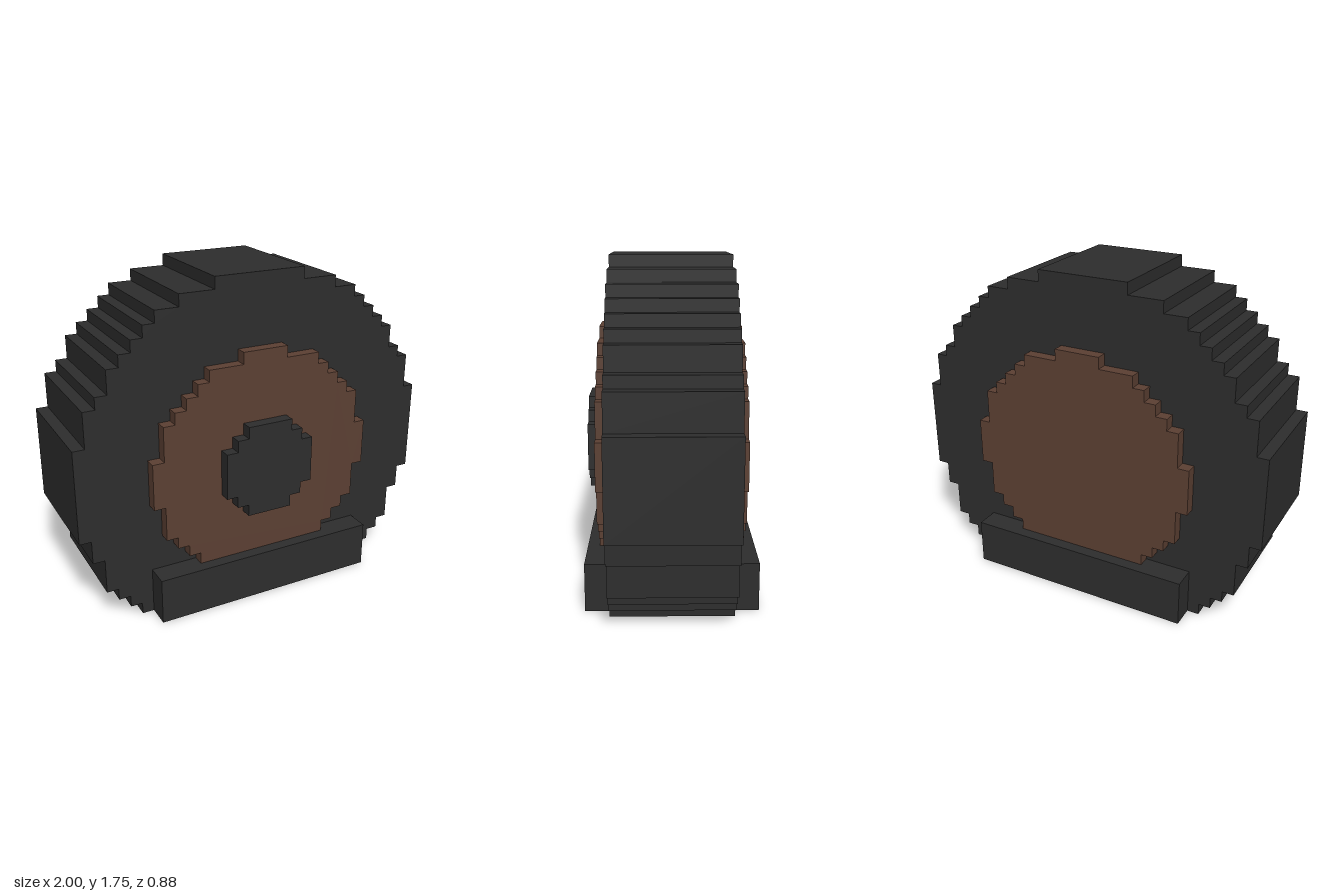
import * as THREE from 'three';

const U = 1 / 16; // size of one block

const charcoal = new THREE.MeshStandardMaterial({ color: 0x2d2d2d });
charcoal.name = 'charcoal';
const brown = new THREE.MeshStandardMaterial({ color: 0x5c4033 });
brown.name = 'brown';

// Stepped disc, mirrored in x: rows of [top height, half width] from the top down, in blocks
function steppedDisc(name, rows, bottom, z0, z1, material) {
  const right = [];
  rows.forEach(([top, half], i) => {
    const low = i + 1 < rows.length ? rows[i + 1][0] : bottom;
    right.push([half, top], [half, low]);
  });
  const left = right.map(([x, y]) => [-x, y]).reverse();
  const points = [...right, ...left].map(([x, y]) => new THREE.Vector2(x * U, y * U));
  const geometry = new THREE.ExtrudeGeometry(new THREE.Shape(points), {
    depth: (z1 - z0) * U,
    bevelEnabled: false,
  });
  geometry.translate(0, 0, z0 * U);
  const mesh = new THREE.Mesh(geometry, material);
  mesh.name = name;
  return mesh;
}

const BODY = [
  [28, 4], [27, 7], [26, 9], [25, 10], [24, 11], [23, 12], [22, 13], [20, 14],
  [19, 15], [16, 16], [8, 15], [6, 14], [3, 13], [2, 12], [1, 11],
];
const PANEL = [
  [22, 2], [21, 5], [20, 6], [19, 7], [18, 8], [17, 9], [14, 10], [10, 9],
  [7, 8], [6, 7], [5, 6],
];
const HUB = [[16, 2], [15, 3], [14, 4], [10, 3], [9, 2]];

export function createModel() {
  const model = new THREE.Group();
  model.name = 'steppedWheel';

  // Main drum, flat at the bottom
  model.add(steppedDisc('drum', BODY, 0, -5, 5, charcoal));

  // Raised round panels on both faces
  model.add(steppedDisc('frontPanel', PANEL, 4, 5, 6, brown));
  model.add(steppedDisc('backPanel', PANEL, 4, -6, -5, brown));

  // Hub on the front only
  model.add(steppedDisc('frontHub', HUB, 8, 6, 7, charcoal));

  // Foot rails along the bottom of both faces
  for (const [name, side] of [['frontFoot', 1], ['backFoot', -1]]) {
    const foot = new THREE.Mesh(new THREE.BoxGeometry(20 * U, 4 * U, 2 * U), charcoal);
    foot.position.set(0, 2 * U, side * 6 * U);
    foot.name = name;
    model.add(foot);
  }

  return model;
}
